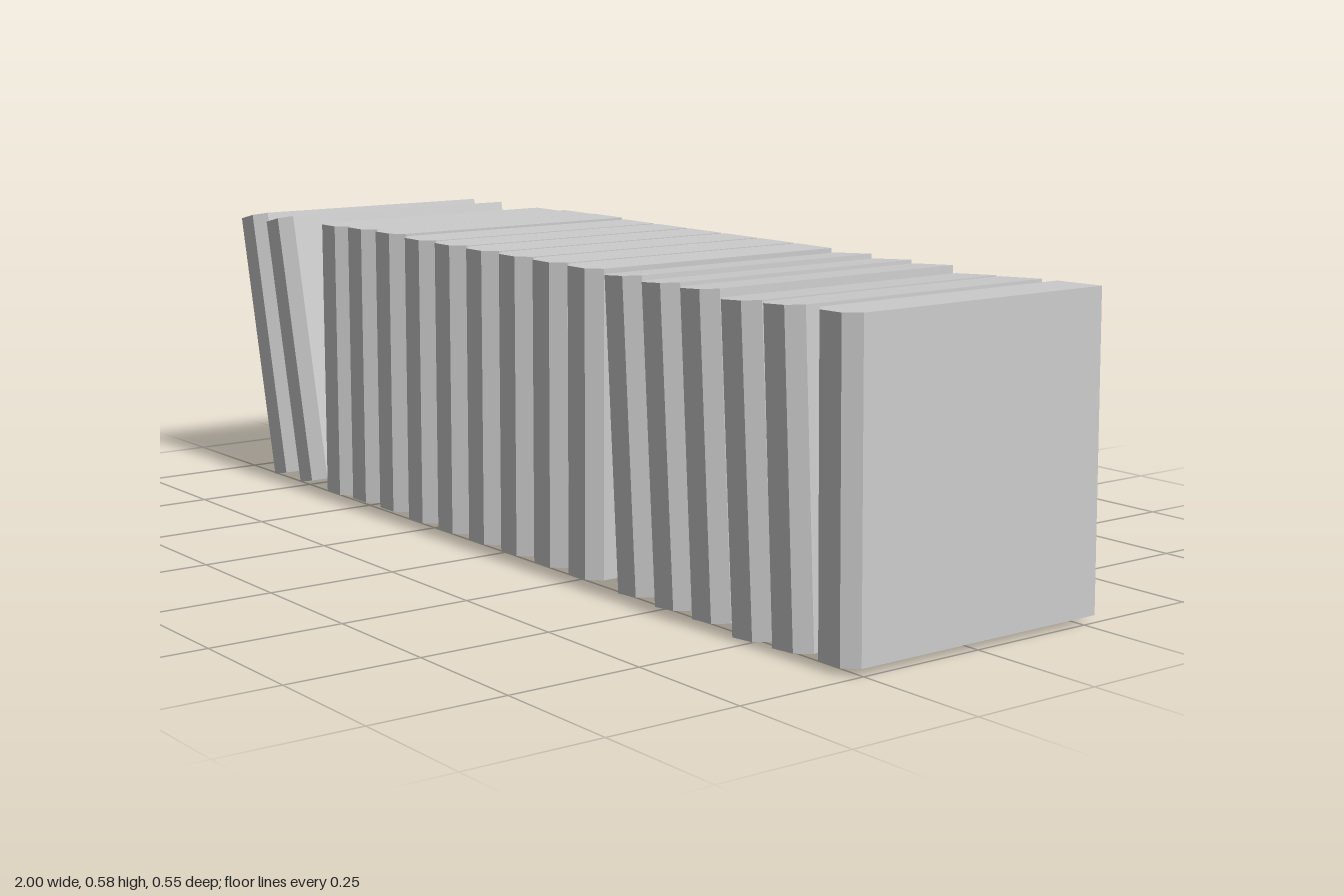
import * as THREE from 'three';

const WIDTH = 0.099, HEIGHT = 0.56, DEPTH = 0.554, BEVEL = 0.024;

// Thin shell with a bevelled spine, closed on top, open at the back and bottom
function bookGeometry() {
  const w = WIDTH / 2, h = HEIGHT / 2, d = DEPTH / 2;
  const outline = [
    [w, -d], [w, d - BEVEL], [w - BEVEL, d],
    [BEVEL - w, d], [-w, d - BEVEL], [-w, -d],
  ];
  const positions = [];
  const at = (i, y) => [outline[i][0], y, outline[i][1]];
  const triangle = (a, b, c) => positions.push(...a, ...b, ...c);

  // covers and spine
  for (let i = 0; i < outline.length - 1; i++) {
    triangle(at(i, h), at(i + 1, -h), at(i, -h));
    triangle(at(i, h), at(i + 1, h), at(i + 1, -h));
  }
  // top cap
  for (let i = 1; i < outline.length - 1; i++) {
    triangle(at(0, h), at(i + 1, h), at(i, h));
  }

  const geometry = new THREE.BufferGeometry();
  geometry.setAttribute('position', new THREE.Float32BufferAttribute(positions, 3));
  // turn the winding outward
  const p = geometry.attributes.position;
  const a = new THREE.Vector3(), b = new THREE.Vector3(), c = new THREE.Vector3();
  const centre = new THREE.Vector3();
  for (let i = 0; i < p.count; i += 3) {
    a.fromBufferAttribute(p, i);
    b.fromBufferAttribute(p, i + 1);
    c.fromBufferAttribute(p, i + 2);
    centre.copy(a).add(b).add(c);
    const normal = b.clone().sub(a).cross(c.clone().sub(a));
    if (normal.dot(centre) < 0) {
      p.setXYZ(i + 1, c.x, c.y, c.z);
      p.setXYZ(i + 2, b.x, b.y, b.z);
    }
  }
  geometry.computeVertexNormals();
  return geometry;
}

export function createModel() {
  const group = new THREE.Group();
  group.name = 'bookRow';
  const geometry = bookGeometry();
  const material = new THREE.MeshStandardMaterial({
    color: 0xcccccc, flatShading: true, side: THREE.DoubleSide,
  });

  // centre x, centre y, lean in degrees
  const books = [
    [-0.89, 0.29, 12.7], [-0.778, 0.292, 12.7],
    [-0.6, 0.294, 0], [-0.495, 0.297, 0], [-0.387, 0.298, 0],
    [-0.277, 0.295, 0], [-0.168, 0.295, 0], [-0.058, 0.295, 0],
    [0.052, 0.295, 0], [0.161, 0.295, 0], [0.27, 0.295, 0],
    [0.4, 0.292, 4.1], [0.506, 0.291, 4.1], [0.61, 0.292, 3.8],
    [0.717, 0.285, 3.8], [0.821, 0.29, 3.3], [0.944, 0.294, 1],
  ];
  books.forEach(([x, y, lean], i) => {
    const book = new THREE.Mesh(geometry, material);
    book.name = `book${i + 1}`;
    book.position.set(x, y, 0);
    book.rotation.z = THREE.MathUtils.degToRad(lean);
    group.add(book);
  });
  return group;
}
